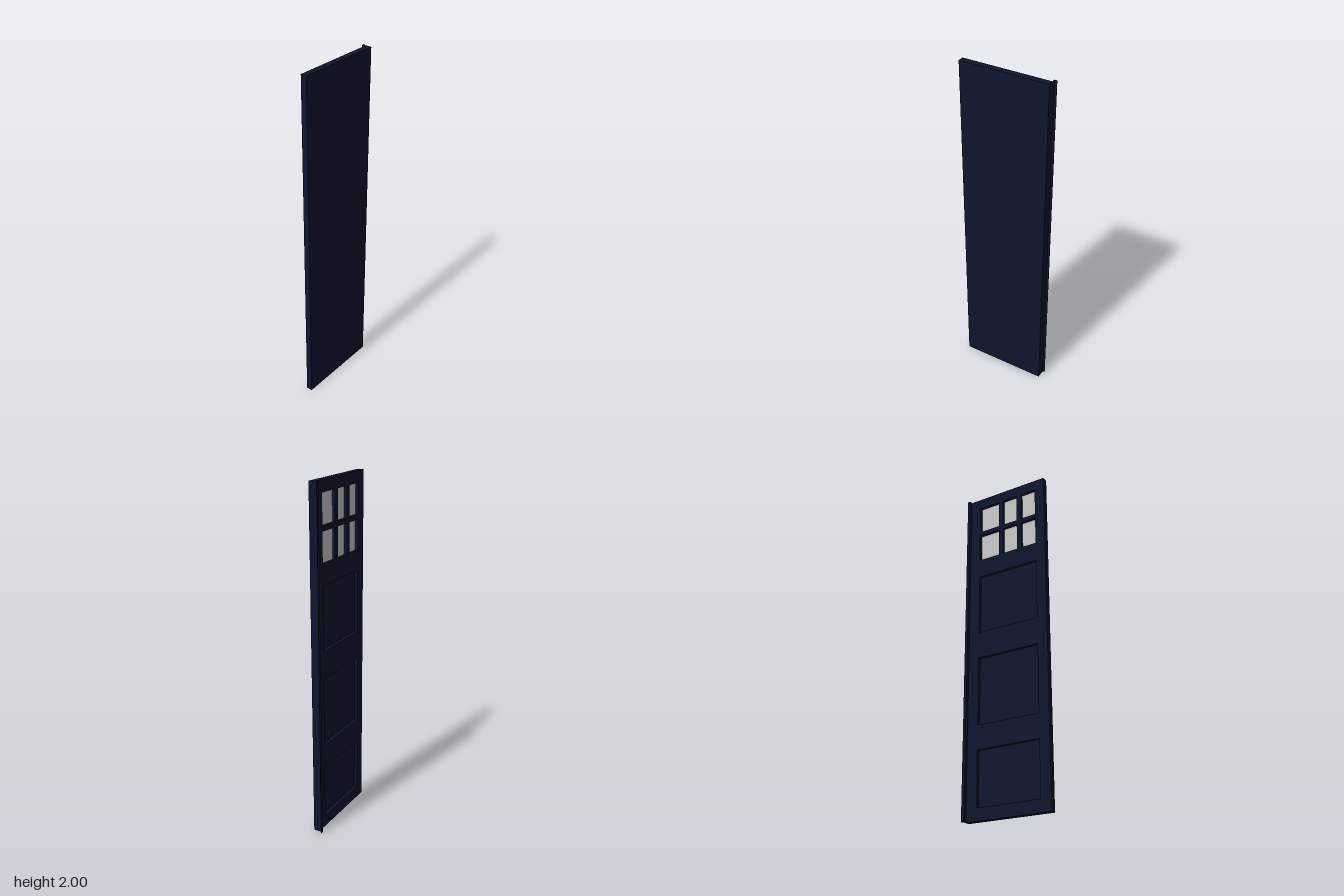
import * as THREE from 'three';

const paint = new THREE.MeshStandardMaterial({ color: 0x0e162d });
const glass = new THREE.MeshStandardMaterial({ color: 0xcccccc });

// The door leans very slightly: x and z drift with height.
const lean = new THREE.Matrix4().set(
  1, 0.003, 0, -0.003,
  0, 1, 0, 0,
  0, 0.0025, 1, -0.0025,
  0, 0, 0, 1
);

const LEFT = 0.249, RIGHT = -0.2635;      // slab sides
const BACK = -0.0075, FRONT = 0.0275;     // slab faces
const RECESS = 0.0105;                    // depth of panels and panes

function add(group, name, geometry, material) {
  geometry.applyMatrix4(lean);
  const mesh = new THREE.Mesh(geometry, material);
  mesh.name = name;
  group.add(mesh);
}

function box(x0, x1, y0, y1, z0, z1) {
  return new THREE.BoxGeometry(x1 - x0, y1 - y0, z1 - z0)
    .translate((x0 + x1) / 2, (y0 + y1) / 2, (z0 + z1) / 2);
}

function rectangle(Kind, x0, x1, y0, y1) {
  return new Kind([[x0, y0], [x1, y0], [x1, y1], [x0, y1]]
    .map(([x, y]) => new THREE.Vector2(x, y)));
}

export function createModel() {
  const door = new THREE.Group();
  door.name = 'door';

  // Plain front sheet
  add(door, 'frontSheet', box(RIGHT, LEFT, 0, 2, RECESS, FRONT), paint);

  // Back frame, cut through for three panels and six panes
  const frame = rectangle(THREE.Shape, RIGHT, LEFT, 0, 2);
  const panelRows = [[0.07, 0.385], [0.525, 0.925], [1.085, 1.45]];
  for (const [y0, y1] of panelRows) {
    frame.holes.push(rectangle(THREE.Path, -0.202, 0.18, y0, y1));
  }
  const paneColumns = [[-0.202, -0.107], [-0.077, 0.018], [0.048, 0.178]];
  const paneRows = [[1.565, 1.737], [1.764, 1.935]];
  for (const [x0, x1] of paneColumns) {
    for (const [y0, y1] of paneRows) {
      frame.holes.push(rectangle(THREE.Path, x0, x1, y0, y1));
      // Pane set at the bottom of its opening
      add(door, 'windowPane', box(x0, x1, y0, y1, RECESS - 0.001, RECESS + 0.001), glass);
    }
  }
  const frameGeometry = new THREE.ExtrudeGeometry(frame, { depth: RECESS - BACK, bevelEnabled: false });
  add(door, 'backFrame', frameGeometry.translate(0, 0, BACK), paint);

  // Angled edge strip along the back of the left side
  add(door, 'stripWeb', box(LEFT - 0.004, LEFT, 0, 2, -0.0275, BACK), paint);
  add(door, 'stripLip', box(LEFT, 0.262, 0, 2, -0.0275, -0.0245), paint);

  return door;
}
